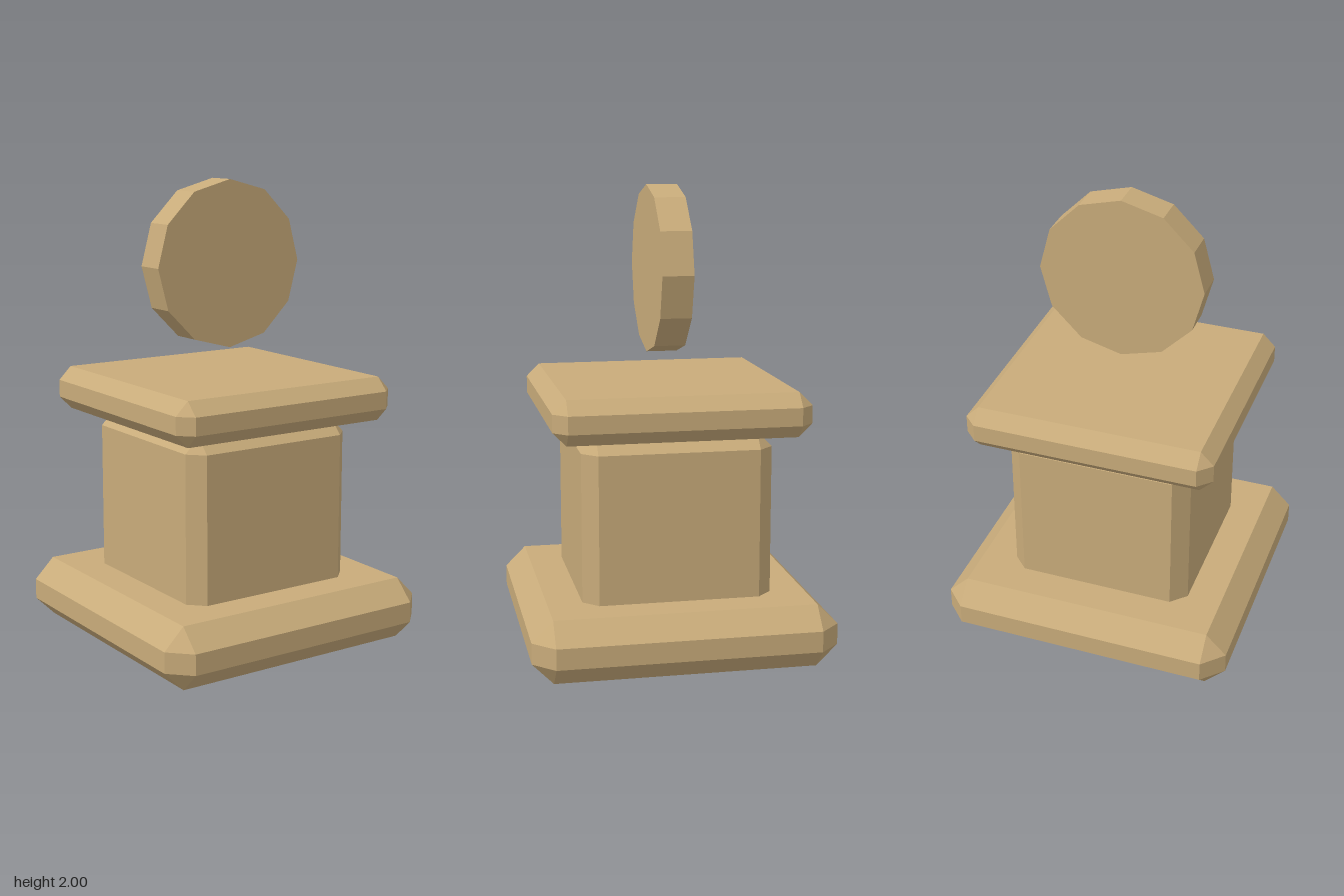
import * as THREE from 'three';
import { ConvexGeometry } from 'three/addons/geometries/ConvexGeometry.js';

const stone = new THREE.MeshStandardMaterial({ color: 0xc8ab7a, flatShading: true });
stone.name = 'sandstone';

// Square block with every edge chamfered by c
function chamferedBlock(name, half, y0, y1, c) {
  const h = (y1 - y0) / 2;
  const points = [];
  for (const sx of [-1, 1]) for (const sy of [-1, 1]) for (const sz of [-1, 1]) {
    points.push(
      new THREE.Vector3(sx * half, sy * (h - c), sz * (half - c)),
      new THREE.Vector3(sx * (half - c), sy * h, sz * (half - c)),
      new THREE.Vector3(sx * (half - c), sy * (h - c), sz * half)
    );
  }
  const mesh = new THREE.Mesh(new ConvexGeometry(points), stone);
  mesh.name = name;
  mesh.position.y = (y0 + y1) / 2;
  return mesh;
}

export function createModel() {
  const model = new THREE.Group();
  model.name = 'pedestalWithDisc';

  // Stacked pedestal; the column's foot is sunk into the base
  model.add(
    chamferedBlock('base', 0.648, 0, 0.27, 0.09),
    chamferedBlock('column', 0.408, 0.2, 0.975, 0.064),
    chamferedBlock('cap', 0.542, 0.975, 1.165, 0.057)
  );

  // Twelve-sided disc floating above the cap, facing front
  const disc = new THREE.Mesh(new THREE.CylinderGeometry(0.36, 0.36, 0.134, 12), stone);
  disc.name = 'disc';
  disc.rotation.x = Math.PI / 2;
  disc.position.y = 1.64;
  model.add(disc);

  return model;
}
